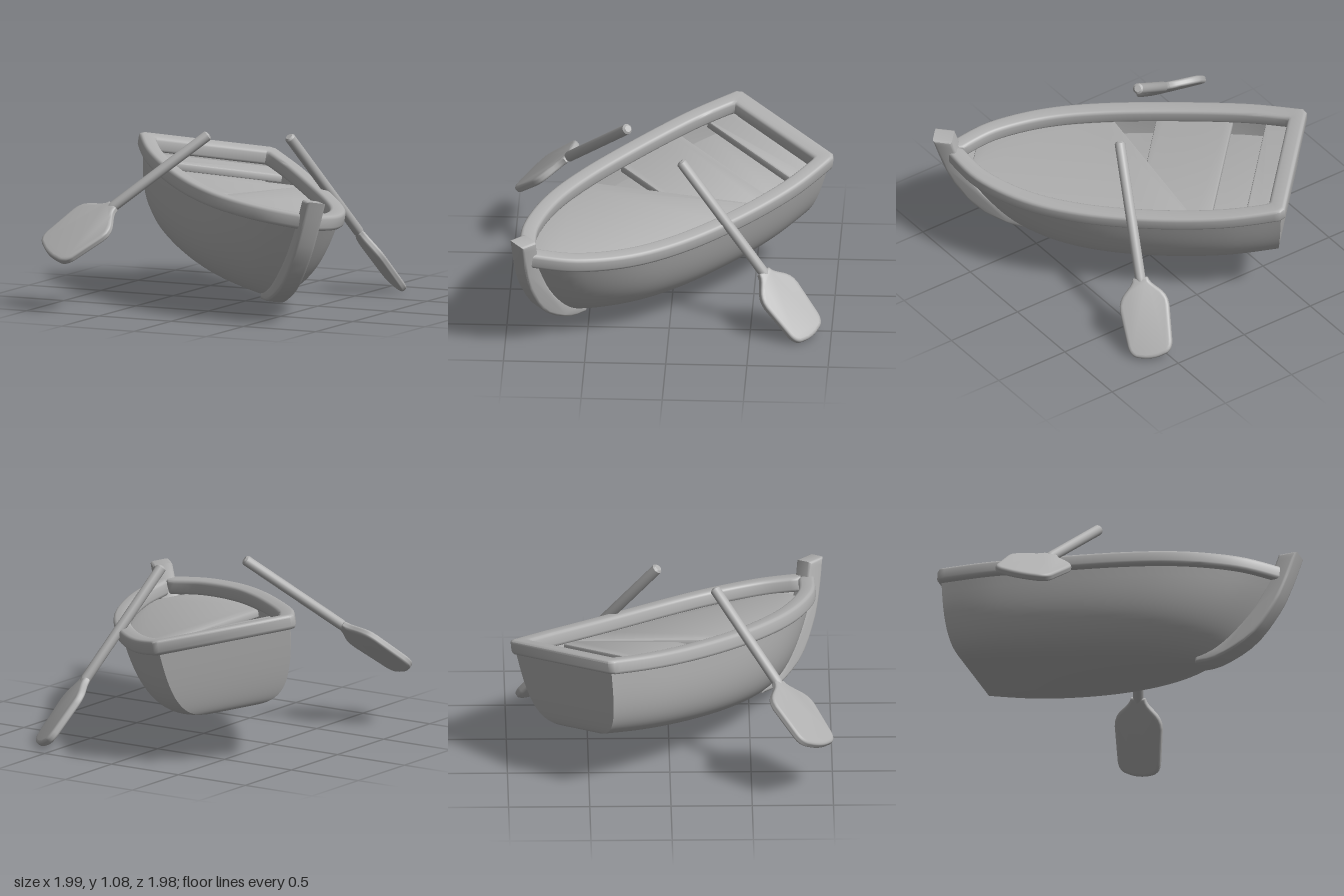
import * as THREE from 'three';
import { toCreasedNormals } from 'three/addons/utils/BufferGeometryUtils.js';

const wood = new THREE.MeshStandardMaterial({ color: 0xb0b0b0, side: THREE.DoubleSide });
wood.name = 'grey wood';

const V2 = (x, y) => new THREE.Vector2(x, y);
const V3 = (x, y, z) => new THREE.Vector3(x, y, z);

// Half-breadth of the gunwale along the boat: (z, half width), stern to bow
const sheerCurve = new THREE.SplineCurve([
  V2(-0.895, 0.45), V2(-0.54, 0.505), V2(-0.1, 0.515), V2(0.35, 0.485),
  V2(0.72, 0.405), V2(1.04, 0.25), V2(1.25, 0.05),
]);
const sheerPts = sheerCurve.getPoints(36);
const sheerY = (z) => 0.7 + 0.046 * (z - 1.1) ** 2;
const keelY = (z) => 0.122 + 0.079 * (z - 0.85) ** 2;

function halfWidth(z) {
  for (let i = 1; i < sheerPts.length; i++) {
    const a = sheerPts[i - 1], b = sheerPts[i];
    if (z <= b.x) return THREE.MathUtils.lerp(a.y, b.y, (z - a.x) / (b.x - a.x));
  }
  return 0.05;
}

function mesh(name, geometry, crease = 0.6) {
  const m = new THREE.Mesh(toCreasedNormals(geometry, crease), wood);
  m.name = name;
  return m;
}

// Skin through a list of cross-sections with equal point counts
function loft(sections) {
  const n = sections[0].length, index = [];
  for (let i = 0; i < sections.length - 1; i++) {
    for (let j = 0; j < n - 1; j++) {
      const a = i * n + j, c = a + n;
      index.push(a, a + 1, c, a + 1, c + 1, c);
    }
  }
  const geo = new THREE.BufferGeometry().setFromPoints(sections.flat());
  geo.setIndex(index);
  return geo;
}

// Hull skin with boxy rounded sections, closed by the transom
function hull() {
  const n = 40;
  const station = (p, flat) => {
    const f = (p.x + 0.895) / 2.145, section = [];
    const zk = -0.79 + 1.57 * f, yk = keelY(zk), ys = sheerY(p.x) - 0.05;
    const b = Math.max(p.y - 0.032, 0.02);
    const power = 0.43 + 0.25 * f ** 2, rise = 0.58 + 0.08 * f, rake = 0.3 + 0.3 * f;
    for (let j = 0; j <= n; j++) {
      const a = (j / n - 0.5) * Math.PI;
      const h = 1 - Math.max(Math.cos(a), 0) ** rise;
      const x = Math.sign(a) * Math.abs(Math.sin(a)) ** power * b * (0.87 + 0.13 * h);
      section.push(V3(flat ? 0 : x, yk + (ys - yk) * h, zk + (p.x - zk) * h ** rake));
    }
    return section;
  };
  return mesh('hull', loft([station(sheerPts[0], true), ...sheerPts.map((p) => station(p, false))]), 0.7);
}

// Gunwale: a rounded rail swept from the bow round the transom and back
function gunwale() {
  const height = 0.095, round = 0.022, width = 0.1;
  const profile = [];
  [[round, round, 180], [width - round, round, 270], [width - round, height - round, 0], [round, height - round, 90]]
    .forEach(([cx, cy, start]) => {
      for (let k = 0; k <= 3; k++) {
        const a = THREE.MathUtils.degToRad(start + k * 30);
        profile.push(V2((cx + round * Math.cos(a)) / width, cy + round * Math.sin(a)));
      }
    });
  profile.push(profile[0]);

  const rails = sheerPts.map((p, i) => {
    const t = sheerCurve.getTangent(i / 36);
    const q = V2(p.x + t.y * width, p.y - t.x * width);
    return [p, V2(Math.max(q.x, -0.81), Math.max(q.y, 0))];
  });
  rails.unshift([V2(-0.92, 0.42), rails[0][1]]);

  const section = ([outer, inner], side) => profile.map((c) => {
    const p = outer.clone().lerp(inner, c.x);
    return V3(side * p.y, sheerY(p.x) - c.y, p.x);
  });
  return mesh('gunwale', loft([
    ...rails.slice().reverse().map((r) => section(r, -1)),
    ...rails.map((r) => section(r, 1)),
  ]), 0.8);
}

// Board spanning the hull, following the sheer; its aft edge may be skewed
function board(name, [aftRight, aftLeft], fore, inset, drop, depth) {
  const right = [], left = [];
  for (let i = 0; i <= 10; i++) {
    const zl = THREE.MathUtils.lerp(aftLeft, fore, i / 10);
    const zr = THREE.MathUtils.lerp(aftRight, fore, i / 10);
    left.push(V2(halfWidth(zl) - inset, zl));
    right.unshift(V2(inset - halfWidth(zr), zr));
  }
  const bevel = 0.01;
  const geo = new THREE.ExtrudeGeometry(new THREE.Shape([...left, ...right]), {
    depth: depth - 2 * bevel, bevelThickness: bevel, bevelSize: bevel, bevelOffset: -bevel, bevelSegments: 2,
  });
  geo.rotateX(Math.PI / 2);
  const pos = geo.attributes.position;
  for (let i = 0; i < pos.count; i++) {
    pos.setY(i, pos.getY(i) - bevel - drop + sheerY(pos.getZ(i)));
  }
  return mesh(name, geo);
}

// Curved stem post at the bow
function stemPost() {
  const outer = new THREE.SplineCurve([V2(0.7, 0.1), V2(0.85, 0.11), V2(1.06, 0.22), V2(1.21, 0.42), V2(1.285, 0.6), V2(1.34, 0.79)]);
  const inner = new THREE.SplineCurve([V2(1.22, 0.79), V2(1.16, 0.6), V2(1.07, 0.42), V2(0.94, 0.27), V2(0.81, 0.18), V2(0.7, 0.16)]);
  const geo = new THREE.ExtrudeGeometry(new THREE.Shape([...outer.getPoints(16), ...inner.getPoints(16)]), {
    depth: 0.085, bevelThickness: 0.018, bevelSize: 0.018, bevelOffset: -0.018, bevelSegments: 3,
  });
  geo.translate(0, 0, -0.0425);
  geo.rotateY(-Math.PI / 2);
  return mesh('stemPost', geo);
}

// Oar laid from handle end to blade tip, with the blade turned along `across`
function oar(name, handle, tip, across, bladeWidth) {
  const g = new THREE.Group();
  g.name = name;
  const yAxis = handle.clone().sub(tip);
  const len = yAxis.length(), blade = 0.5, w = bladeWidth / 2;
  yAxis.normalize();
  const zAxis = across.clone().cross(yAxis).normalize();
  const xAxis = yAxis.clone().cross(zAxis);

  const shaftLen = len - blade + 0.06, r = 0.033;
  const profile = [V2(0, 0), V2(0.015, 0), V2(r, 0.06), V2(r, shaftLen - 0.012), V2(r - 0.012, shaftLen), V2(0, shaftLen)];
  const shaft = mesh('shaft', new THREE.LatheGeometry(profile, 16));
  shaft.position.y = blade - 0.06;

  const s = new THREE.Shape();
  s.moveTo(-0.045, blade);
  s.bezierCurveTo(-0.06, blade - 0.07, -w, blade - 0.08, -w, blade - 0.19);
  s.lineTo(-w * 0.9, 0.09);
  s.quadraticCurveTo(-w * 0.85, 0.02, -w * 0.5, 0.01);
  s.quadraticCurveTo(0, -0.015, w * 0.5, 0.01);
  s.quadraticCurveTo(w * 0.85, 0.02, w * 0.9, 0.09);
  s.lineTo(w, blade - 0.19);
  s.bezierCurveTo(w, blade - 0.08, 0.06, blade - 0.07, 0.045, blade);
  const geo = new THREE.ExtrudeGeometry(s, {
    depth: 0.016, bevelThickness: 0.016, bevelSize: 0.02, bevelOffset: -0.02, bevelSegments: 3, curveSegments: 8,
  });
  geo.translate(0, 0, -0.008);
  g.add(shaft, mesh('blade', geo, 0.8));

  g.quaternion.setFromRotationMatrix(new THREE.Matrix4().makeBasis(xAxis, yAxis, zAxis));
  g.position.copy(tip);
  return g;
}

export function createModel() {
  const model = new THREE.Group();
  model.name = 'rowingBoat';

  // Boat heeled to its left and turned diagonally
  const heeled = new THREE.Group();
  heeled.name = 'boat';
  heeled.rotation.z = -0.155;
  heeled.position.set(-0.09, 0.005, 0);
  heeled.add(
    hull(), gunwale(), stemPost(),
    board('floor', [-0.78, -0.78], 0.4, 0.1, 0.18, 0.04),
    board('sternBench', [-0.83, -0.83], -0.66, 0.06, 0.1, 0.05),
    board('middleBench', [-0.45, -0.45], 0.03, 0.06, 0.1, 0.05),
    board('foreDeck', [0.28, -0.36], 1.1, 0.09, 0.09, 0.05),
  );
  const turned = new THREE.Group();
  turned.name = 'boatHeading';
  turned.rotation.y = Math.PI / 4;
  turned.add(heeled);

  model.add(
    turned,
    oar('rightOar', V3(-0.11, 1.06, 0.28), V3(-0.885, 0.345, 0.92), V3(0.26, -0.1, 0.19), 0.42),
    oar('leftOar', V3(0.27, 1.03, -0.06), V3(0.61, 0.015, -0.88), V3(0.19, -0.05, 0.145), 0.31),
  );
  return model;
}
